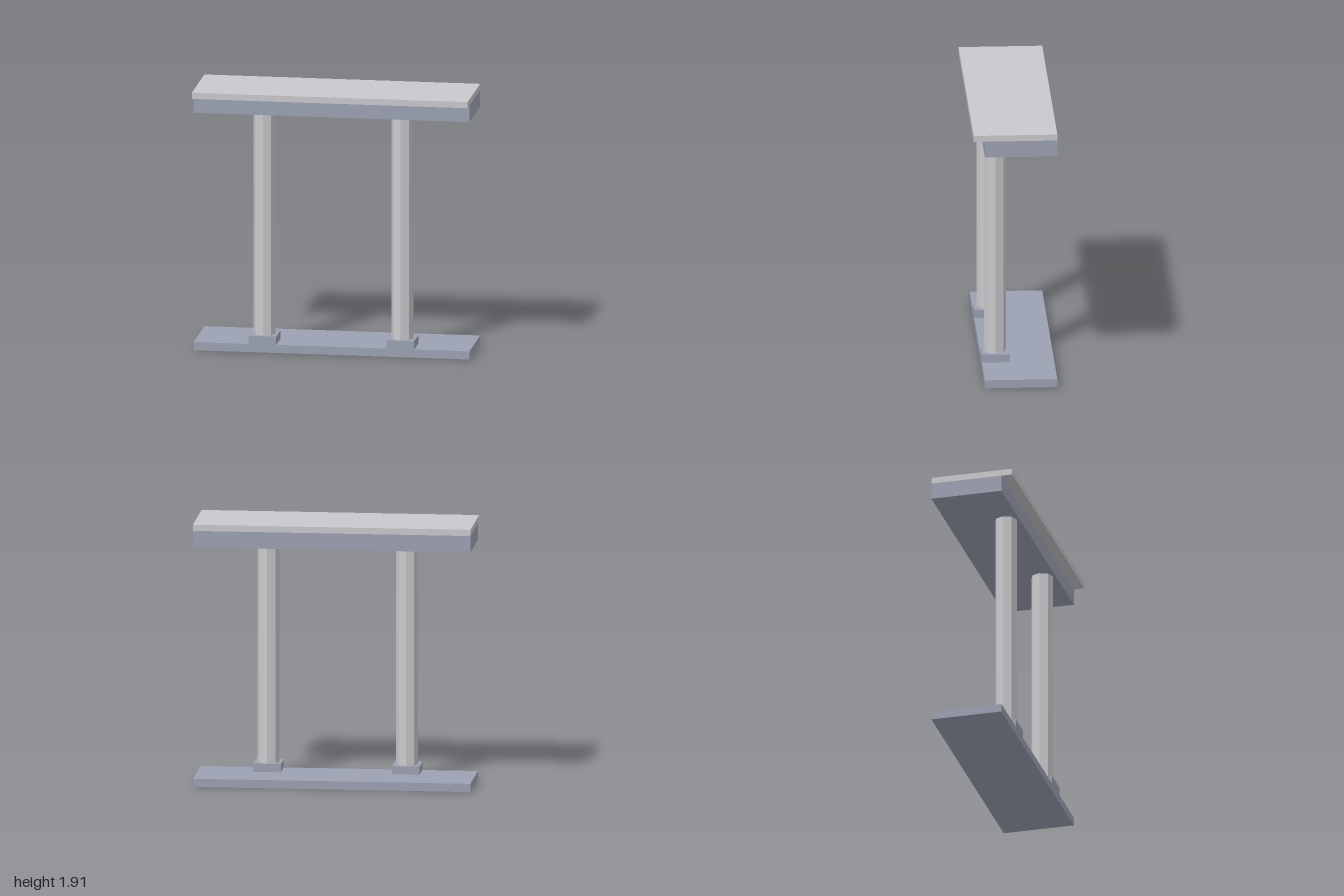
import * as THREE from 'three';

export function createModel() {
  const model = new THREE.Group();
  const paleStone = new THREE.MeshStandardMaterial({ color: 0xc9c8cc, flatShading: true });
  paleStone.name = 'paleStone';
  const blueStone = new THREE.MeshStandardMaterial({ color: 0x9ca1b2, flatShading: true });
  blueStone.name = 'blueStone';

  const add = (name, geometry, material, x, y, z) => {
    const mesh = new THREE.Mesh(geometry, material);
    mesh.name = name;
    mesh.position.set(x, y, z);
    model.add(mesh);
  };

  // Box given by its centre x, width, and y and z ranges
  const slab = (name, material, x, width, y0, y1, z0, z1) =>
    add(name, new THREE.BoxGeometry(width, y1 - y0, z1 - z0), material, x, (y0 + y1) / 2, (z0 + z1) / 2);

  // Floor slab, beam and the roof slab that overhangs the front
  slab('base', blueStone, 0, 2, 0, 0.06, -0.3, 0.22);
  slab('beam', blueStone, 0, 2, 1.745, 1.865, -0.3, 0.22);
  slab('roofSlab', paleStone, 0, 2, 1.865, 1.91, -0.3, 0.3);

  // Octagonal columns on square plinths, flush with the front edge of the base
  for (const [side, x] of [['left', 0.5], ['right', -0.5]]) {
    slab(side + 'Plinth', blueStone, x, 0.2, 0.06, 0.12, 0.02, 0.22);
    const height = 1.745 - 0.12;
    add(side + 'Column', new THREE.CylinderGeometry(0.08, 0.08, height, 8), paleStone, x, 0.12 + height / 2, 0.12);
  }
  return model;
}
